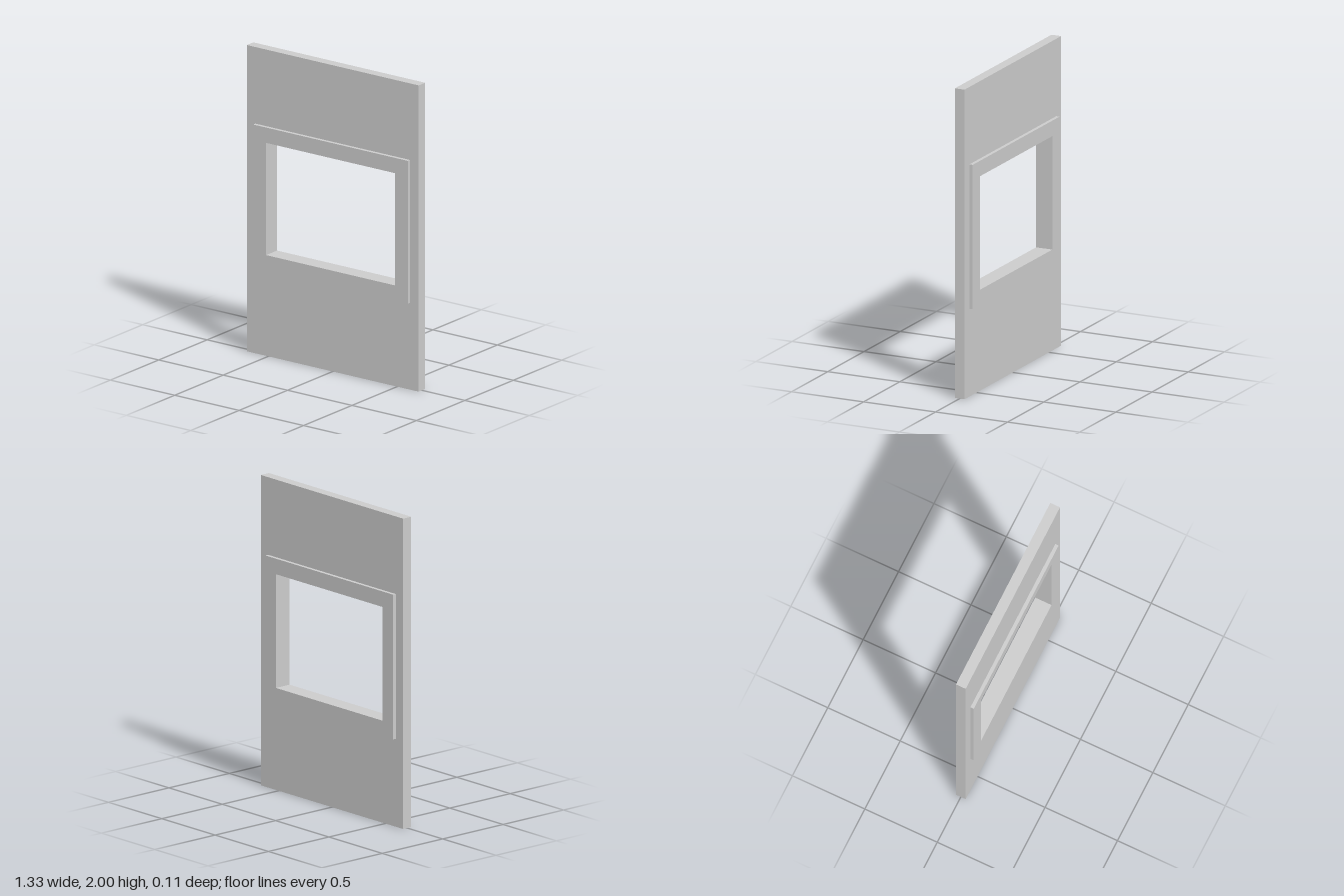
import * as THREE from 'three';

const material = new THREE.MeshStandardMaterial({ color: 0xcccccc, flatShading: true });

// Corners of an upright rectangle, counter-clockwise
function corners({ halfWidth, bottom, top }) {
  return [
    new THREE.Vector2(-halfWidth, bottom),
    new THREE.Vector2(halfWidth, bottom),
    new THREE.Vector2(halfWidth, top),
    new THREE.Vector2(-halfWidth, top),
  ];
}

// Rectangular slab with a rectangular hole, centred on z = 0
function piercedSlab(name, outer, inner, depth) {
  const shape = new THREE.Shape(corners(outer));
  shape.holes.push(new THREE.Path(corners(inner).reverse()));
  const geometry = new THREE.ExtrudeGeometry(shape, { depth, bevelEnabled: false });
  geometry.translate(0, 0, -depth / 2);
  const mesh = new THREE.Mesh(geometry, material);
  mesh.name = name;
  return mesh;
}

export function createModel() {
  const wall = { halfWidth: 0.667, bottom: 0, top: 2 };
  const frame = { halfWidth: 0.6, bottom: 0.567, top: 1.5 };
  const opening = { halfWidth: 0.5, bottom: 0.667, top: 1.4 };

  const model = new THREE.Group();
  model.name = 'windowWall';
  // Wall panel, cut out to receive the frame
  model.add(piercedSlab('wallPanel', wall, frame, 0.067));
  // Window frame, standing proud on both faces
  model.add(piercedSlab('windowFrame', frame, opening, 0.113));
  return model;
}
